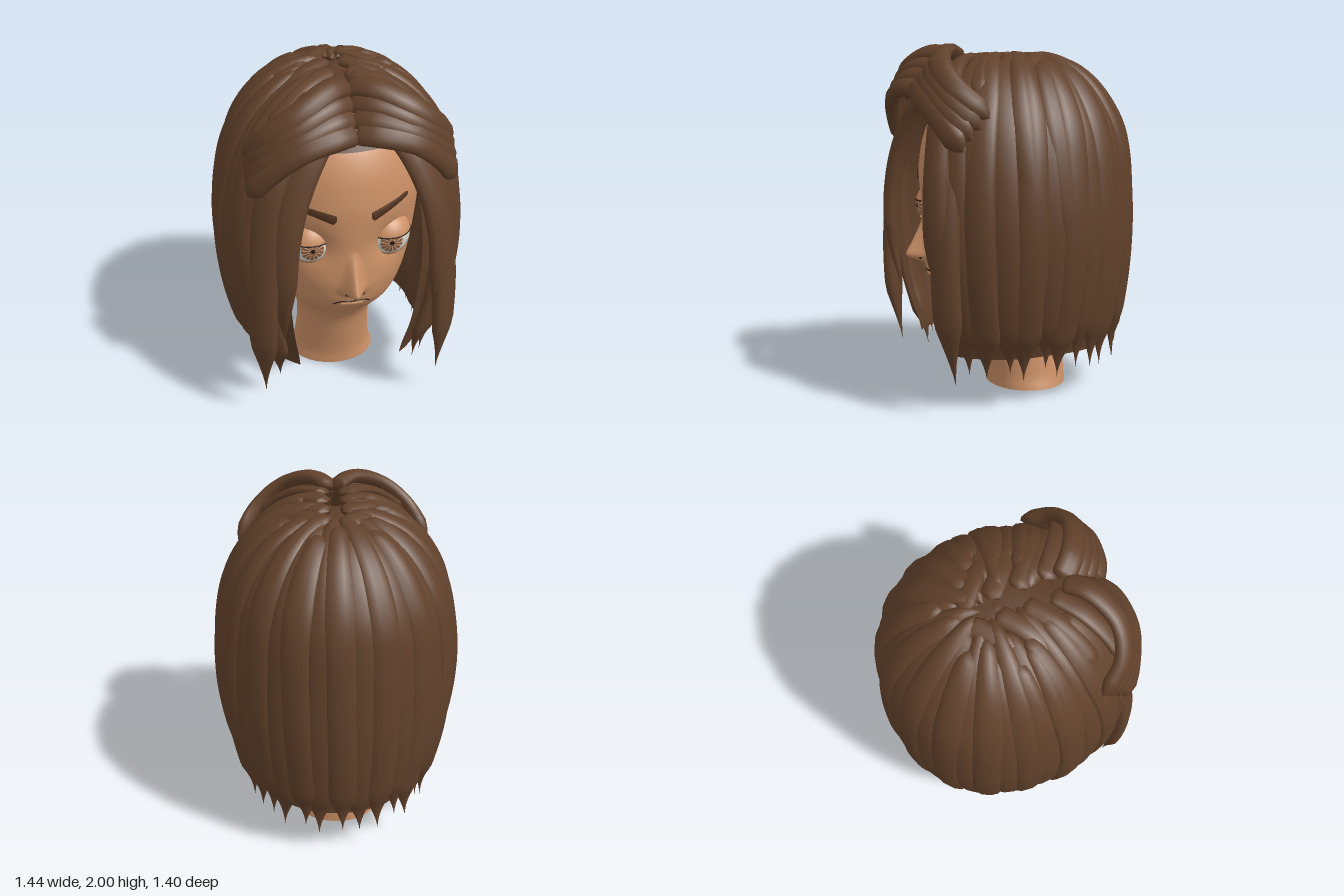
import * as THREE from 'three';
import { ParametricGeometry } from 'three/addons/geometries/ParametricGeometry.js';

const mat = (name, color, side = THREE.FrontSide) => Object.assign(new THREE.MeshStandardMaterial({ color, side }), { name });
const V = (x, y, z) => new THREE.Vector3(x, y, z);
const clamp = THREE.MathUtils.clamp, smooth = THREE.MathUtils.smoothstep;

// Surface from closed rings: fn(row 0..1, angle) gives each vertex
function ringSurface(rows, cols, fn) {
  const pos = [], index = [];
  for (let i = 0; i <= rows; i++) {
    for (let j = 0; j < cols; j++) {
      pos.push(...fn(i / rows, (j / cols) * Math.PI * 2).toArray());
      if (i === rows) continue;
      const a = i * cols + j, b = i * cols + (j + 1) % cols;
      index.push(a, b, a + cols, b, b + cols, a + cols);
    }
  }
  const g = new THREE.BufferGeometry();
  g.setAttribute('position', new THREE.Float32BufferAttribute(pos, 3));
  g.setIndex(index);
  g.computeVertexNormals();
  return g;
}

// Flattened lock along a path, facing away from the head's axis, tapered at the tip
function strand(points, halfWidth, thick, { taper = 0.15, power = 0.8, rows = 30, width = () => 1 } = {}) {
  const curve = new THREE.CatmullRomCurve3(points);
  const frames = [];
  for (let i = 0; i <= rows; i++) {
    const u = i / rows, p = curve.getPoint(u), t = curve.getTangent(u);
    const n = V(p.x, p.y - Math.min(p.y, 1.3), p.z);
    n.addScaledVector(t, -n.dot(t)).normalize();
    const b = n.clone().cross(t).normalize();
    const s = Math.sqrt(clamp(u / 0.04, 0, 1)) * Math.pow(clamp((1 - u) / taper, 0, 1), power);
    frames.push({ p, n, b, w: halfWidth * s * width(p), h: thick * s });
  }
  return ringSurface(rows, 10, (u, a) => {
    const f = frames[Math.round(u * rows)];
    return f.p.clone().addScaledVector(f.b, Math.cos(a) * f.w).addScaledVector(f.n, Math.sin(a) * f.h);
  });
}

// Head sections: height, half width, front z, back z
const HEAD = [
  [0, 0.26, 0.16, -0.30], [0.09, 0.235, 0.17, -0.30], [0.25, 0.22, 0.21, -0.28], [0.37, 0.225, 0.245, -0.28],
  [0.45, 0.245, 0.29, -0.29], [0.51, 0.27, 0.345, -0.31], [0.58, 0.30, 0.43, -0.34], [0.68, 0.35, 0.52, -0.38],
  [0.80, 0.40, 0.555, -0.43], [0.92, 0.435, 0.56, -0.47], [1.05, 0.46, 0.56, -0.50], [1.17, 0.475, 0.565, -0.52],
  [1.32, 0.49, 0.565, -0.53], [1.5, 0.47, 0.53, -0.51], [1.65, 0.40, 0.45, -0.43], [1.77, 0.28, 0.31, -0.30], [1.84, 0.001, 0.02, 0.018]];
const headFront = new THREE.CatmullRomCurve3(HEAD.map(([y, w, f]) => V(w, y, f)), false, 'catmullrom', 0.5);
const headBack = new THREE.CatmullRomCurve3(HEAD.map(([y, w, , b]) => V(w, y, b)), false, 'catmullrom', 0.5);

// Nose bump and eye sockets
function sculpt(x, y) {
  const k = clamp((1.05 - y) / 0.23, 0, 1);
  const h = y > 0.82 ? 0.115 * Math.pow(k, 1.2) : 0.115 * smooth(y, 0.755, 0.82);
  const nose = h * Math.exp(-Math.pow(x / (0.024 + 0.026 * k), 2));
  const dx = Math.abs(x) - 0.215, dy = y - 1.06;
  return nose - 0.045 * Math.exp(-(dx * dx + dy * dy) / 0.011);
}
function headPoint(t, a) {
  const f = headFront.getPoint(t), b = headBack.getPoint(t).z;
  const x = f.x * Math.sin(a), z = (f.z + b) / 2 + ((f.z - b) / 2) * Math.cos(a);
  return V(x, f.y, z + (Math.cos(a) > 0 ? sculpt(x, f.y) : 0));
}
// Point on the face at x, y, raised by lift
function onFace(x, y, lift = 0.004) {
  let lo = 0, hi = 1;
  for (let i = 0; i < 24; i++) {
    const m = (lo + hi) / 2;
    if (headFront.getPoint(m).y < y) lo = m; else hi = m;
  }
  const p = headPoint(lo, Math.asin(clamp(x / headFront.getPoint(lo).x, -1, 1)));
  p.z += lift;
  return p;
}

// Hair silhouette from crown to tips
const hairCurve = new THREE.CatmullRomCurve3([
  [0.001, 1.92], [0.18, 1.90], [0.34, 1.83], [0.47, 1.71], [0.575, 1.53], [0.635, 1.3],
  [0.66, 1.05], [0.645, 0.8], [0.6, 0.55], [0.535, 0.34], [0.505, 0.16]].map(([r, y]) => V(r, y, 0)), false, 'catmullrom', 0.5);
// The back is flatter and hangs straighter, the front is fuller
function hairPoint(t, a, lift = 0) {
  const p = hairCurve.getPoint(t), c = Math.cos(a);
  const fuller = c < 0 ? -c * (0.14 * t ** 4 - 0.035 * smooth(t, 0.4, 0.6)) : 0.1 * c * Math.min(1, 2 * t);
  const r = p.x + lift + fuller;
  const part = (0.28 * Math.max(0, c) - 0.05) * Math.pow(1 - t, 3);
  return V(r * Math.sin(a), p.y + lift * (1 - t), r * c + part);
}

export function createModel() {
  const skin = mat('skin', 0xcb9066, THREE.DoubleSide), hair = mat('hair', 0x61412b), hairInner = mat('inner hair', 0x5b3d29, THREE.DoubleSide);
  const brow = mat('brow', 0x51331f), white = mat('eye white', 0xd8d8d0), iris = mat('iris', 0x935a36);
  const irisPale = mat('pale iris', 0xc4ad98), dark = mat('dark line', 0x24160f);
  const model = new THREE.Group();
  const add = (name, geo, material, parent = model) => {
    const m = new THREE.Mesh(geo, material);
    m.name = name;
    parent.add(m);
    return m;
  };

  // Head and open neck, with vertices gathered toward the face
  add('head', ringSurface(160, 120, (t, a) => headPoint(t, a - 0.6 * Math.sin(a))), skin);

  // Eyes, brows and nostrils
  for (const s of [1, -1]) {
    const eye = new THREE.Group();
    eye.name = s > 0 ? 'leftEye' : 'rightEye';
    eye.position.set(0.22 * s, 1.07, 0.4);
    model.add(eye);
    add('eyeball', new THREE.SphereGeometry(0.13, 32, 24), white, eye);
    add('upperLid', new THREE.SphereGeometry(0.135, 32, 16, 0, Math.PI * 2, 0, 1.38), skin, eye);
    const lower = add('lowerLid', new THREE.SphereGeometry(0.134, 32, 16, 0, Math.PI * 2, 1.45, Math.PI - 1.45), skin, eye);
    lower.rotation.x = 0.76;
    const lash = add('lashLine', new THREE.TorusGeometry(0.132, 0.004, 6, 40), dark, eye);
    lash.rotation.x = Math.PI / 2;
    lash.position.y = 0.026;
    const disc = new THREE.Group();
    disc.name = 'iris';
    disc.rotation.x = Math.PI / 2 + 0.04;
    eye.add(disc);
    add('irisBase', new THREE.SphereGeometry(0.131, 28, 6, 0, Math.PI * 2, 0, 0.5), irisPale, disc);
    for (let i = 0; i < 14; i++)
      add('irisSpoke', new THREE.SphereGeometry(0.132, 3, 6, (i / 14) * Math.PI * 2, 0.3, 0, 0.5), iris, disc);
    add('pupil', new THREE.SphereGeometry(0.133, 20, 4, 0, Math.PI * 2, 0, 0.1), dark, disc);

    const browPath = [[0.095, 1.255], [0.17, 1.282], [0.25, 1.303], [0.33, 1.318]].map(([x, y]) => onFace(x * s, y));
    const narrowing = p => 1 - 0.45 * (Math.abs(p.x) - 0.095) / 0.235;
    add('eyebrow', strand(browPath, 0.028, 0.006, { taper: 0.05, rows: 30, width: narrowing }), brow);
    const nostril = add('nostril', new THREE.SphereGeometry(0.012, 10, 8), dark);
    nostril.position.copy(onFace(0.042 * s, 0.80, 0));
    nostril.scale.set(1.2, 0.5, 0.6);
  }

  // Mouth: a thin downturned line over a soft lower lip
  const lipLine = [[-0.105, 0.69], [-0.07, 0.715], [-0.02, 0.72], [0, 0.713], [0.02, 0.72], [0.07, 0.715], [0.105, 0.69]];
  const tube = (pts, r) => new THREE.TubeGeometry(new THREE.CatmullRomCurve3(pts), 30, r, 6);
  add('mouthLine', tube(lipLine.map(([x, y]) => onFace(x, y, 0)), 0.004), dark);
  add('lowerLip', tube([-0.06, -0.03, 0, 0.03, 0.06].map(x => onFace(x, 0.697 - x * x, -0.007)), 0.013), skin);

  // Inner shell of hair, open at the face, and crown cap above the hairline
  const shell = (edge, t0, t1) => new ParametricGeometry((u, v, target) =>
    target.copy(hairPoint(t0 + (t1 - t0) * v, edge + (Math.PI * 2 - 2 * edge) * u, -0.035)), 72, 30);
  add('hairShell', shell(0.54, 0.25, 0.93), hairInner);
  const profile = hairCurve.getPoints(60).reverse().filter(p => p.y >= 1.62);
  add('crownCap', new THREE.LatheGeometry(profile.map(p => new THREE.Vector2(p.x * 0.94, p.y - 0.01)), 60), hairInner);

  // Long locks fanning from the crown, each ending in a thin spike
  const path = (a, t0, t1, lift, bend) => Array.from({ length: 13 }, (_, i) => {
    const t = t0 + (t1 - t0) * (i / 12);
    return hairPoint(t, a + bend * Math.sin(t * 5), lift);
  });
  const fan = p => clamp(0.3 + 0.75 * Math.hypot(p.x, p.z) / 0.62, 0, 1);
  const N = 27, start = 0.74;
  for (let i = 0; i < N; i++) {
    const a = start + (i / (N - 1)) * (Math.PI * 2 - 2 * start);
    const t0 = 0.02 + 0.05 * (i % 3), wobble = Math.sin(i * 2.7);
    const end = 0.985 + 0.015 * wobble;
    add('longLock', strand(path(a, t0, end, 0.012 * (i % 2), 0.03 * wobble), 0.092, 0.042, { taper: 0.14, power: 1.6, rows: 44, width: fan }), hair);
  }

  for (const s of [1, -1]) {
    // Shorter overlapping side locks: angle, start, end, lift
    for (const [a, t0, t1, lift] of [[0.95, 0.06, 0.9, 0.01], [1.35, 0.1, 0.8, 0.018], [1.62, 0.16, 0.78, 0.018]])
      add('sideLock', strand(path(s * a, t0, t1, lift, -0.09 * s), 0.075, 0.035, { taper: 0.3, width: fan }), hair);

    // Locks framing the face
    const dx = s > 0 ? 0.065 : 0;
    const frame = [[0.07, 1.8, 0.42], [0.2, 1.68, 0.52], [0.33, 1.42, 0.6], [0.39, 1.15, 0.635], [0.405, 0.85, 0.63], [0.395, 0.55, 0.58]];
    add('faceLock', strand(frame.map(([x, y, z]) => V(s * (x + dx), y, z)), 0.085, 0.045, { taper: 0.28 }), hair);
    add('frontLock', strand(frame.map(([x, y, z]) => V(s * (x + 0.11), y - (1.8 - y) * 0.3, z - 0.03)), 0.09, 0.045, { taper: 0.18, power: 1.4 }), hair);

    // Swept fringe, layered from the parting outward
    for (let i = 0; i < 4; i++) {
      const k = i / 3;
      const pts = [[0.005, 1.93 - 0.17 * k, 0.36 + 0.2 * k], [0.11, 1.955 - 0.19 * k, 0.46 + 0.16 * k], [0.29, 1.88 - 0.16 * k, 0.55 + 0.09 * k],
        [0.45, 1.75 - 0.16 * k, 0.52 + 0.07 * k], [0.56, 1.61 - 0.17 * k, 0.37 + 0.15 * k]];
      add('fringe', strand(pts.map(([x, y, z]) => V(s * x, y, z)), 0.068, 0.042, { taper: 0.1, power: 0.6 }), hair);
    }

    // Short blunt locks lying across the crown beside the parting
    for (let i = 0; i < 4; i++) {
      const z = -0.17 + i * 0.15;
      const pts = [[0.04, 1.935, z], [0.2, 1.91, z + 0.13], [0.36, 1.8, z + 0.23], [0.48, 1.66, z + 0.25]];
      add('partingLock', strand(pts.map(([x, y, zz]) => V(s * x, y - 0.12 * zz * zz, zz)), 0.058, 0.03, { taper: 0.3 }), hair);
    }
  }
  return model;
}
